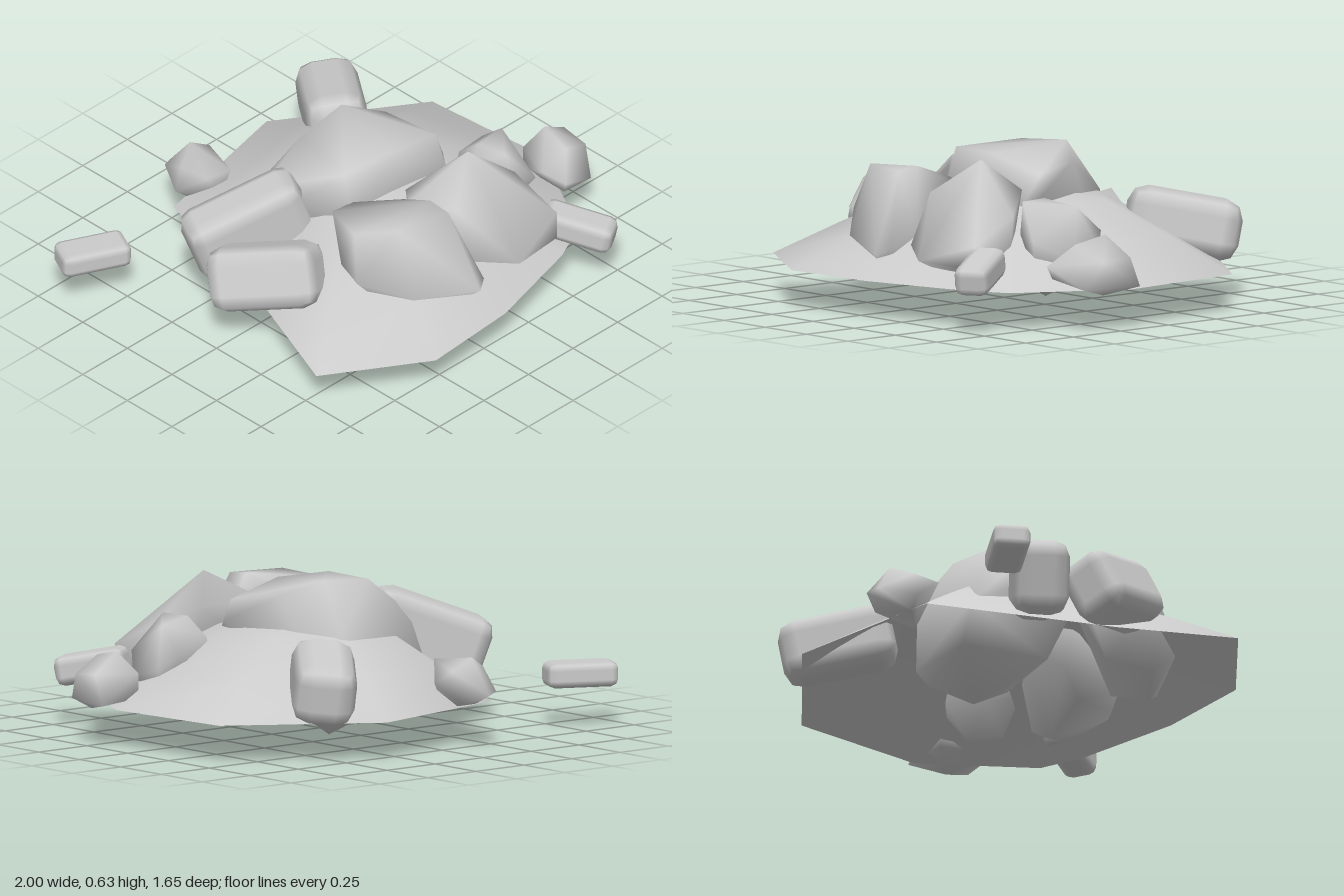
import * as THREE from 'three';
import { mergeVertices } from 'three/addons/utils/BufferGeometryUtils.js';
import { ConvexGeometry } from 'three/addons/geometries/ConvexGeometry.js';
import { RoundedBoxGeometry } from 'three/addons/geometries/RoundedBoxGeometry.js';

const material = new THREE.MeshStandardMaterial({ color: 0xcccccc });
const thinMaterial = new THREE.MeshStandardMaterial({ color: 0xcccccc, side: THREE.DoubleSide });

// Open mound: the ground outline shrinks ring by ring towards the top
function mound() {
  const outline = [[-0.34, -0.65], [0.33, -0.8], [0.89, -0.43], [0.94, 0.14], [0.7, 0.58], [0.52, 0.67],
    [0.08, 0.79], [-0.34, 0.82], [-0.75, 0.56], [-0.57, 0.1]];
  const rings = [[1, 0.15], [0.72, 0.285], [0.42, 0.42], [0, 0.475]]; // scale, height
  const cx = 0.06, cz = 0, n = outline.length;
  const positions = [], index = [];
  rings.forEach(([s, y], r) => {
    outline.forEach(([x, z], i) => {
      positions.push(cx + (x - cx) * s, y, cz + (z - cz) * s);
      if (r === 0) return;
      const a = (r - 1) * n + i, b = (r - 1) * n + (i + 1) % n;
      index.push(a, a + n, b);
      if (s > 0) index.push(b, a + n, b + n);
    });
  });
  const geometry = new THREE.BufferGeometry();
  geometry.setAttribute('position', new THREE.Float32BufferAttribute(positions, 3));
  geometry.setIndex(index);
  geometry.computeVertexNormals();
  const mesh = new THREE.Mesh(geometry, thinMaterial);
  mesh.name = 'mound';
  return mesh;
}

// Boulder: convex hull of a few corner points, smoothly shaded
function boulder(name, corners) {
  const hull = new ConvexGeometry(corners.map((c) => new THREE.Vector3(...c)));
  hull.deleteAttribute('normal');
  const geometry = mergeVertices(hull);
  geometry.computeVertexNormals();
  const mesh = new THREE.Mesh(geometry, material);
  mesh.name = name;
  return mesh;
}

// Chamfered brick: size is width, height, length; length points along direction
function brick(name, center, size, direction, roll = 0) {
  const mesh = new THREE.Mesh(new RoundedBoxGeometry(...size, 1, Math.min(...size) * 0.3), material);
  mesh.name = name;
  mesh.position.set(...center);
  mesh.lookAt(new THREE.Vector3(...center).add(new THREE.Vector3(...direction)));
  mesh.rotateZ(roll);
  return mesh;
}

const boulders = {
  topBoulder: [
    [-0.15, 0.6, 0.12], [-0.1, 0.61, -0.18], [0.15, 0.63, -0.2], [0.3, 0.57, -0.1], [0.36, 0.54, 0.12],
    [0.1, 0.6, 0.14], [-0.3, 0.46, -0.19], [-0.24, 0.27, -0.37], [0.18, 0.42, -0.35], [0.38, 0.45, 0.14],
    [0.34, 0.42, 0.2], [-0.17, 0.42, 0.17], [-0.29, 0.46, -0.03], [0.08, 0, -0.15], [-0.12, 0.14, -0.33],
    [0.18, 0.08, -0.3], [0.22, 0.15, -0.33], [-0.15, 0.16, 0.05], [0.2, 0.16, 0.09]],
  frontRightBoulder: [
    [-0.34, 0.53, 0.36], [-0.23, 0.56, 0.5], [0, 0.57, 0.45], [0, 0.56, 0.55], [0.08, 0.3, 0.52],
    [0.08, 0.26, 0.67], [0.03, 0.24, 0.7], [-0.24, 0.28, 0.6], [-0.4, 0.36, 0.44], [-0.41, 0.42, 0.36],
    [-0.24, 0.48, 0.14], [-0.14, 0.48, 0.15], [0, 0.5, 0.3], [-0.2, 0.2, 0.3], [0, 0.16, 0.45],
    [-0.05, 0.16, 0.6], [-0.25, 0.18, 0.48]],
  frontLeftBoulder: [
    [0.29, 0.62, 0.37], [0.06, 0.49, 0.25], [0.03, 0.47, 0.3], [0.11, 0.48, 0.48], [0.12, 0.28, 0.59],
    [0.27, 0.24, 0.68], [0.5, 0.24, 0.66], [0.54, 0.32, 0.62], [0.52, 0.42, 0.4], [0.4, 0.5, 0.25],
    [0.36, 0.1, 0.4], [0.15, 0.19, 0.4], [0.49, 0.18, 0.4], [0.07, 0.27, 0.28], [0.46, 0.16, 0.52]],
  leftBoulder: [
    [0.5, 0.475, 0.22], [0.52, 0.475, 0.35], [0.66, 0.455, 0.19], [0.67, 0.35, 0.07], [0.73, 0.29, 0.13],
    [0.74, 0.25, 0.27], [0.64, 0.33, 0.4], [0.54, 0.35, 0.38], [0.44, 0.42, 0.24], [0.48, 0.4, 0.13],
    [0.65, 0.15, 0.2], [0.55, 0.15, 0.3], [0.42, 0.22, 0.14]],
  outerBoulder: [
    [0.87, 0.37, 0.22], [0.85, 0.34, 0.36], [1, 0.29, 0.2], [0.99, 0.28, 0.33], [1, 0.17, 0.15],
    [0.94, 0.14, 0.29], [0.95, 0.17, 0.4], [0.77, 0.25, 0.44], [0.75, 0.26, 0.33], [0.78, 0.2, 0.42],
    [0.8, 0.18, 0.17], [0.8, 0.28, 0.17]],
  backBoulder: [
    [-0.18, 0.21, -0.83], [-0.23, 0.22, -0.81], [-0.09, 0.3, -0.7], [-0.18, 0.35, -0.72], [-0.28, 0.3, -0.67],
    [-0.08, 0.24, -0.61], [-0.17, 0.32, -0.5], [-0.26, 0.3, -0.54], [-0.31, 0.2, -0.67], [-0.15, 0.13, -0.58],
    [-0.25, 0.15, -0.66], [-0.12, 0.17, -0.75]],
};

export function createModel() {
  const group = new THREE.Group();
  group.name = 'rubblePile';
  group.add(mound());
  for (const [name, corners] of Object.entries(boulders)) group.add(boulder(name, corners));
  // Bricks lying around the slope
  group.add(
    brick('backLeftBrick', [0.45, 0.295, -0.55], [0.25, 0.25, 0.46], [0.6, -0.18, -0.76], -0.1),
    brick('looseBrick', [-0.845, 0.205, -0.6], [0.15, 0.1, 0.29], [0.9, 0, 0.43]),
    brick('rightBrick', [-0.56, 0.305, 0.09], [0.23, 0.26, 0.46], [0.47, 0.24, 0.84], -0.4),
    brick('upperRightBrick', [-0.41, 0.35, -0.165], [0.22, 0.29, 0.5], [0.85, 0.36, 0.47]),
    brick('frontBrick', [0.62, 0.235, 0.66], [0.14, 0.12, 0.3], [0.52, -0.2, 0.83]),
  );
  return group;
}
